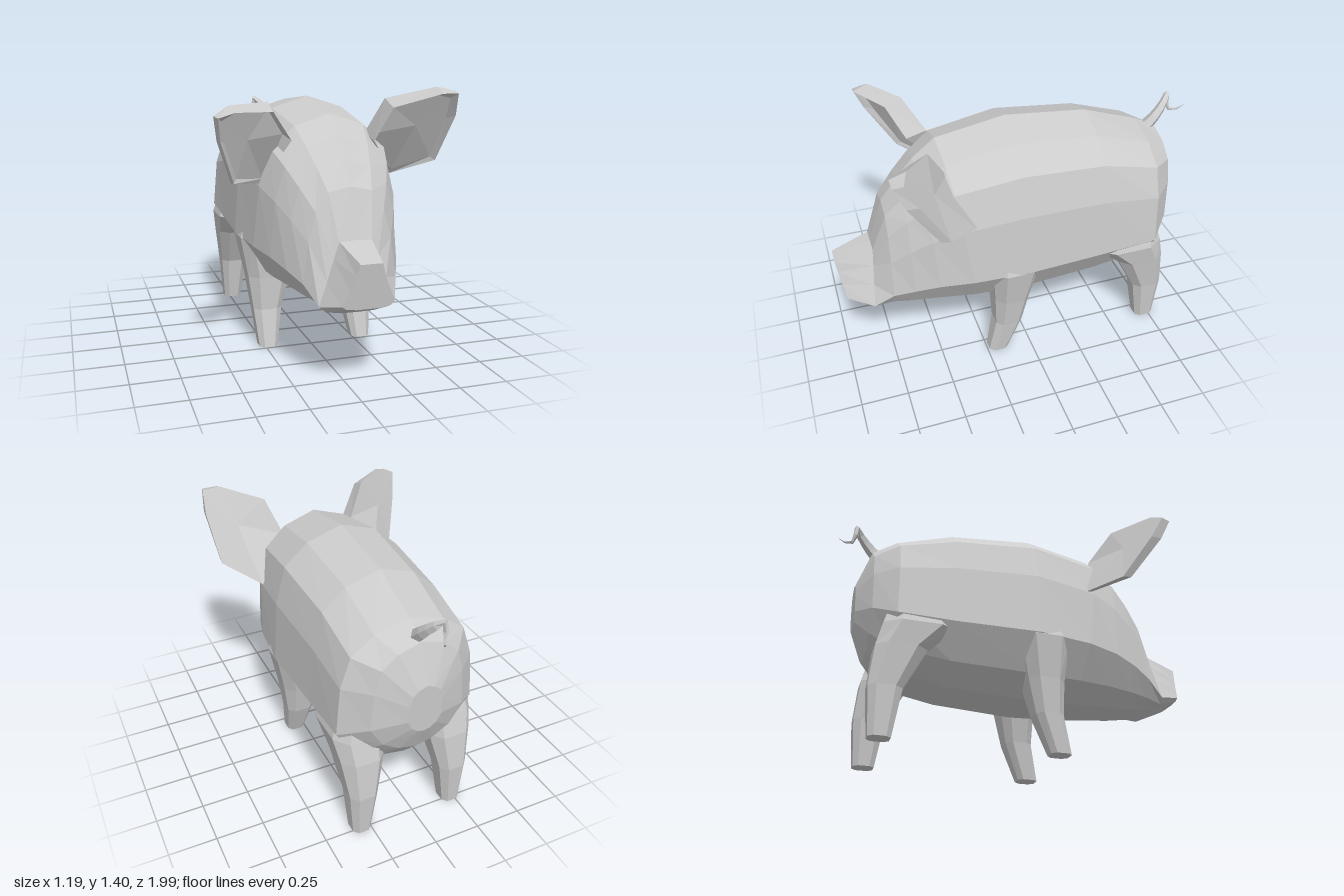
import * as THREE from 'three';

const { lerp } = THREE.MathUtils;
const CX = 0.035; // the body's own midline
const material = new THREE.MeshStandardMaterial({ color: 0xcccccc, flatShading: true });

function makeMesh(geometry, name) {
  const mesh = new THREE.Mesh(geometry, material);
  mesh.name = name;
  return mesh;
}

// Skin a list of equal-sized rings of [x, y, z], closing both ends with fans
function loft(rings) {
  const n = rings[0].length;
  const centre = (ring) => [0, 1, 2].map((k) => ring.reduce((s, p) => s + p[k], 0) / n);
  const positions = [...rings.flat(), centre(rings[0]), centre(rings[rings.length - 1])].flat();
  const last = (rings.length - 1) * n;
  const index = [];
  for (let j = 0; j < n; j++) {
    const k = (j + 1) % n;
    for (let i = 0; i < last; i += n) {
      index.push(i + j, i + k, i + n + k, i + j, i + n + k, i + n + j);
    }
    index.push(last + n, k, j, last + n + 1, last + j, last + k);
  }
  const geometry = new THREE.BufferGeometry();
  geometry.setAttribute('position', new THREE.Float32BufferAttribute(positions, 3));
  geometry.setIndex(index);
  const flat = geometry.toNonIndexed();
  flat.computeVertexNormals();
  return flat;
}

// Body and head: a rounded half section that turns into a wedge at the snout
const ROUND = [[0, 1], [0.48, 0.94], [0.8, 0.83], [0.94, 0.63], [1, 0.3], [0.72, 0.12], [0.36, 0.03], [0, 0]];
const WEDGE = [[0, 1], [0.42, 1], [0.56, 0.75], [0.76, 0.43], [1, 0.1], [0.84, 0.03], [0.42, 0], [0, 0]];

function bodyGeometry() {
  // z at top, z at bottom, half width, top, bottom, share of wedge
  const stations = [
    [-0.88, -0.87, 0.09, 0.92, 0.65, 0],
    [-0.81, -0.8, 0.25, 1.12, 0.5, 0],
    [-0.69, -0.69, 0.375, 1.18, 0.38, 0],
    [-0.39, -0.39, 0.385, 1.285, 0.32, 0],
    [0.05, 0.05, 0.405, 1.33, 0.295, 0],
    [0.42, 0.3, 0.375, 1.265, 0.305, 0],
    [0.54, 0.49, 0.33, 1.17, 0.32, 0],
    [0.63, 0.63, 0.285, 1.07, 0.335, 0.1],
    [0.72, 0.74, 0.235, 0.95, 0.355, 0.3],
    [0.8, 0.84, 0.19, 0.71, 0.375, 0.9],
    [1, 0.965, 0.125, 0.65, 0.43, 1],
  ];
  return loft(stations.map(([zTop, zBottom, w, top, bottom, wedge]) => {
    const half = ROUND.map(([x, y], i) => [lerp(x, WEDGE[i][0], wedge), lerp(y, WEDGE[i][1], wedge)]);
    const section = [...half.map(([x, y]) => [-x, y]), ...half.slice(1, -1).reverse()];
    return section.map(([x, y]) => [CX + x * w, lerp(bottom, top, y), lerp(zBottom, zTop, y)]);
  }));
}

// Leg: chamfered rings given as y, inner x, outer x, front z, back z
const CHAMFERED = [
  [1, -0.55], [1, 0.55], [0.55, 1], [-0.55, 1], [-1, 0.55], [-1, -0.55], [-0.55, -1], [0.55, -1],
].reverse();

function legGeometry(rows, side) {
  return loft(rows.map(([y, inner, outer, front, back]) =>
    CHAMFERED.map(([x, z]) => [
      CX + (side * (inner + outer) + x * (outer - inner)) / 2,
      y,
      (front + back + z * (front - back)) / 2,
    ])));
}

const FRONT_LEG = [
  [0, 0.215, 0.315, 0.24, 0.13],
  [0.2, 0.18, 0.335, 0.2, 0.05],
  [0.38, 0.13, 0.36, 0.205, 0.01],
  [0.6, 0.16, 0.402, 0.225, -0.04],
  [0.72, 0.18, 0.36, 0.2, 0],
];
const BACK_LEG = [
  [0, 0.215, 0.315, -0.67, -0.78],
  [0.25, 0.18, 0.335, -0.63, -0.8],
  [0.46, 0.13, 0.365, -0.52, -0.78],
  [0.58, 0.12, 0.385, -0.38, -0.75],
  [0.75, 0.15, 0.33, -0.45, -0.7],
];

// Ear: flat back, raised forward rim and a hollow; the right one droops a little
function earGeometry(side) {
  const back = [
    [0.36, 0.93, 0.31], [0.535, 1.02, 0.48], [0.56, 1.26, 0.62], [0.55, 1.38, 0.68],
    [0.465, 1.4, 0.65], [0.255, 1.34, 0.51], [0.19, 1.16, 0.41],
  ];
  const rim = [
    [0.36, 0.935, 0.34], [0.53, 1.025, 0.53], [0.555, 1.26, 0.68], [0.54, 1.37, 0.73],
    [0.46, 1.37, 0.73], [0.265, 1.3, 0.6], [0.2, 1.13, 0.52],
  ];
  const hollow = back.map(([x, y, z]) => [lerp(0.37, x, 0.85), lerp(1.16, y, 0.85), lerp(0.47, z, 0.85) + 0.03]);
  const droop = side < 0 ? -0.29 : 0;
  const c = Math.cos(droop), s = Math.sin(droop);
  const place = ([x, y, z]) => {
    const dx = x - 0.28, dy = y - 1.05;
    return [CX + side * (0.28 + dx * c - dy * s), 1.05 + dx * s + dy * c, z];
  };
  return loft([back, rim, hollow].map((ring) => {
    const points = ring.map(place);
    return side < 0 ? points.reverse() : points;
  }));
}

// Curly tail: a five-sided tube narrowed towards its tip
function tailGeometry() {
  const curve = new THREE.CatmullRomCurve3([
    [0.035, 1.1, -0.74], [0.035, 1.17, -0.81], [0.01, 1.23, -0.87], [-0.02, 1.26, -0.9],
    [-0.02, 1.18, -0.91], [0, 1.17, -0.94], [0.03, 1.21, -0.99],
  ].map((p) => new THREE.Vector3(...p)));
  const segments = 9, sides = 5;
  const geometry = new THREE.TubeGeometry(curve, segments, 0.04, sides, false);
  const pos = geometry.attributes.position;
  const v = new THREE.Vector3();
  for (let i = 0; i < pos.count; i++) {
    const t = Math.floor(i / (sides + 1)) / segments;
    const centre = curve.getPointAt(t);
    v.fromBufferAttribute(pos, i).sub(centre).multiplyScalar(1 - 0.97 * t);
    pos.setXYZ(i, centre.x + v.x, centre.y + v.y, centre.z + v.z);
  }
  geometry.computeVertexNormals();
  return geometry;
}

export function createModel() {
  const pig = new THREE.Group();
  pig.name = 'pig';
  pig.add(makeMesh(bodyGeometry(), 'bodyAndHead'), makeMesh(tailGeometry(), 'tail'));
  for (const [side, label] of [[1, 'left'], [-1, 'right']]) {
    pig.add(
      makeMesh(legGeometry(FRONT_LEG, side), `${label}FrontLeg`),
      makeMesh(legGeometry(BACK_LEG, side), `${label}BackLeg`),
      makeMesh(earGeometry(side), `${label}Ear`),
    );
  }
  return pig;
}
